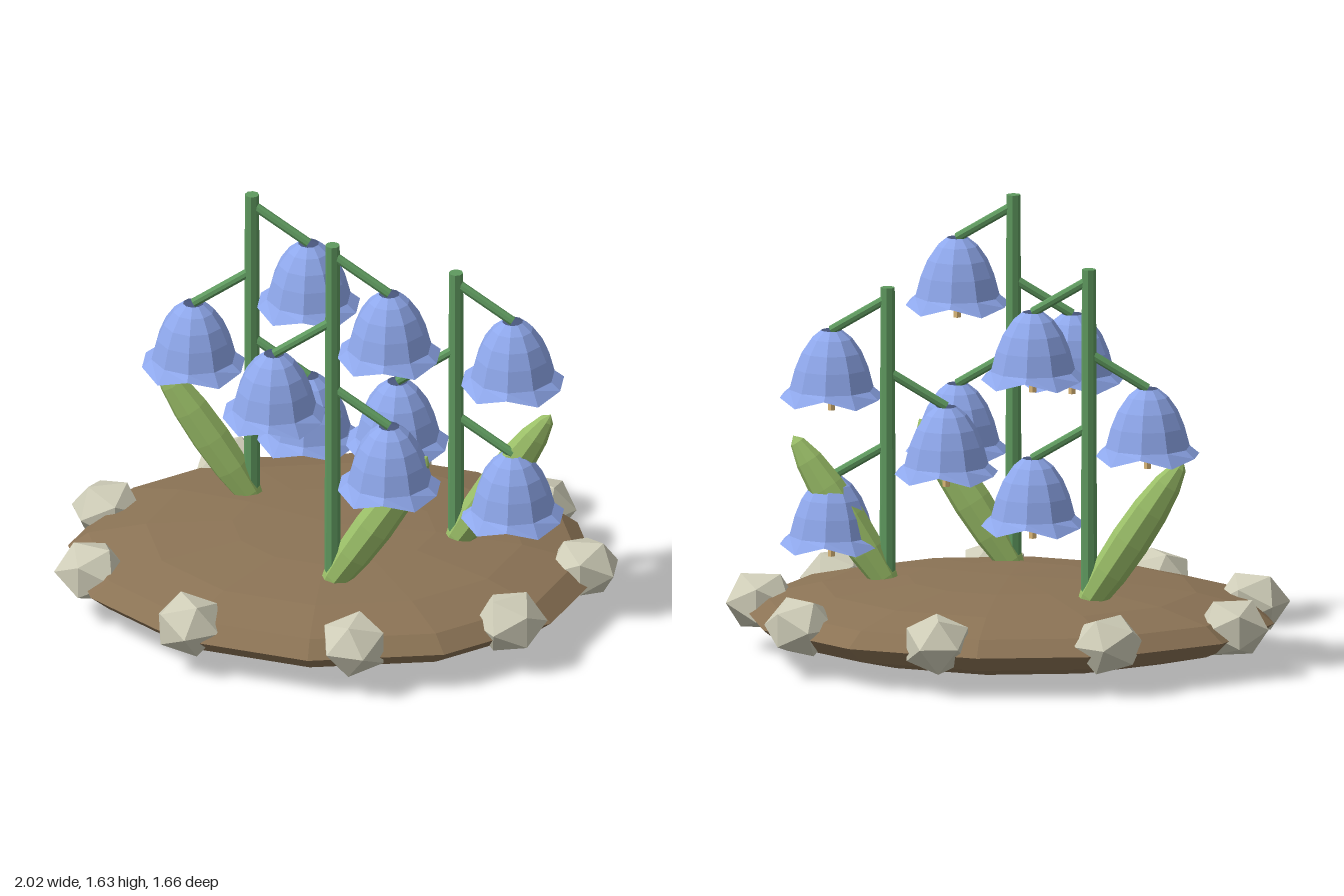
import * as THREE from 'three';

const mat = (color, side = THREE.FrontSide) =>
  new THREE.MeshStandardMaterial({ color, flatShading: true, side });

const soilMat = mat(0x8b7355);
const stoneMat = mat(0xcfcdb8);
const stemMat = mat(0x5f9a5f);
const leafMat = mat(0x9bbf68);
const petalMat = mat(0x8fa8ec, THREE.DoubleSide);
const throatMat = mat(0x6b5a8c);
const stamenMat = mat(0xdcb878);

function add(parent, name, geometry, material, x = 0, y = 0, z = 0) {
  const mesh = new THREE.Mesh(geometry, material);
  mesh.name = name;
  mesh.position.set(x, y, z);
  parent.add(mesh);
  return mesh;
}

// Thin rod between two points
function rod(parent, name, a, b, radius, material) {
  const dir = b.clone().sub(a);
  const mesh = add(parent, name, new THREE.CylinderGeometry(radius, radius, dir.length(), 8), material);
  mesh.position.copy(a).add(b).multiplyScalar(0.5);
  mesh.quaternion.setFromUnitVectors(new THREE.Vector3(0, 1, 0), dir.normalize());
  return mesh;
}

// Ten-sided bell whose flared rim rises and falls
function bellGeometry() {
  const profile = [[0.19, -0.25], [0.155, -0.215], [0.135, -0.14], [0.11, -0.08], [0.075, -0.03], [0.038, 0]]
    .map(([r, y]) => new THREE.Vector2(r, y));
  const geometry = new THREE.LatheGeometry(profile, 10);
  const p = geometry.attributes.position;
  for (let i = 0; i < p.count; i++) {
    if (p.getY(i) > -0.24) continue;
    const angle = Math.atan2(p.getX(i), p.getZ(i));
    p.setY(i, p.getY(i) + 0.02 * Math.cos(6 * angle));
  }
  geometry.computeVertexNormals();
  return geometry;
}

const bellGeo = bellGeometry();

function makeBell(x, y, z) {
  const bell = new THREE.Group();
  bell.name = 'bellFlower';
  bell.position.set(x, y, z);
  add(bell, 'petals', bellGeo, petalMat);
  add(bell, 'throat', new THREE.CylinderGeometry(0.115, 0.125, 0.02, 10), throatMat, 0, -0.14, 0);
  add(bell, 'stamen', new THREE.CylinderGeometry(0.014, 0.014, 0.15, 6), stamenMat, 0, -0.22, 0);
  return bell;
}

// Stem with three alternating bells and one leaf
function makePlant(x, z, top, leafSide) {
  const plant = new THREE.Group();
  plant.name = 'plant';
  const base = 0.2;
  add(plant, 'stem', new THREE.CylinderGeometry(0.026, 0.03, top - base, 8), stemMat, x, (top + base) / 2, z);
  for (let i = 0; i < 3; i++) {
    const side = i % 2 ? -1 : 1;
    const joint = top - 0.04 - i * 0.27;
    const tip = new THREE.Vector3(x + side * 0.21, joint - 0.13, z + 0.03);
    rod(plant, 'flowerStalk', new THREE.Vector3(x, joint, z), tip, 0.017, stemMat);
    plant.add(makeBell(tip.x, tip.y, tip.z));
  }
  const leaf = add(plant, 'leaf', new THREE.SphereGeometry(1, 8, 8), leafMat, x + leafSide * 0.15, 0.49, z);
  leaf.scale.set(0.072, 0.36, 0.062);
  leaf.rotation.z = -leafSide * 0.575;
  return plant;
}

export function createModel() {
  const model = new THREE.Group();
  model.name = 'bellFlowerBed';

  // Flattened soil mound
  const mound = add(model, 'soilMound', new THREE.SphereGeometry(1, 12, 8), soilMat, -0.03, 0.15, 0);
  mound.scale.set(0.97, 0.15, 0.8);

  // Ring of stones
  for (let i = 0; i < 9; i++) {
    const a = (i / 9) * Math.PI * 2;
    const stone = add(model, 'stone', new THREE.IcosahedronGeometry(0.138, 0), stoneMat,
      -0.03 + 0.91 * Math.cos(a), 0.18, 0.715 * Math.sin(a));
    stone.scale.set(1, 0.84, 0.95);
    stone.rotation.y = i * 0.7;
  }

  // Plants: x, z, stem top, leaf direction
  model.add(makePlant(-0.36, -0.255, 1.49, -1));
  model.add(makePlant(0.01, 0.375, 1.63, 1));
  model.add(makePlant(0.415, 0, 1.35, 1));
  return model;
}
